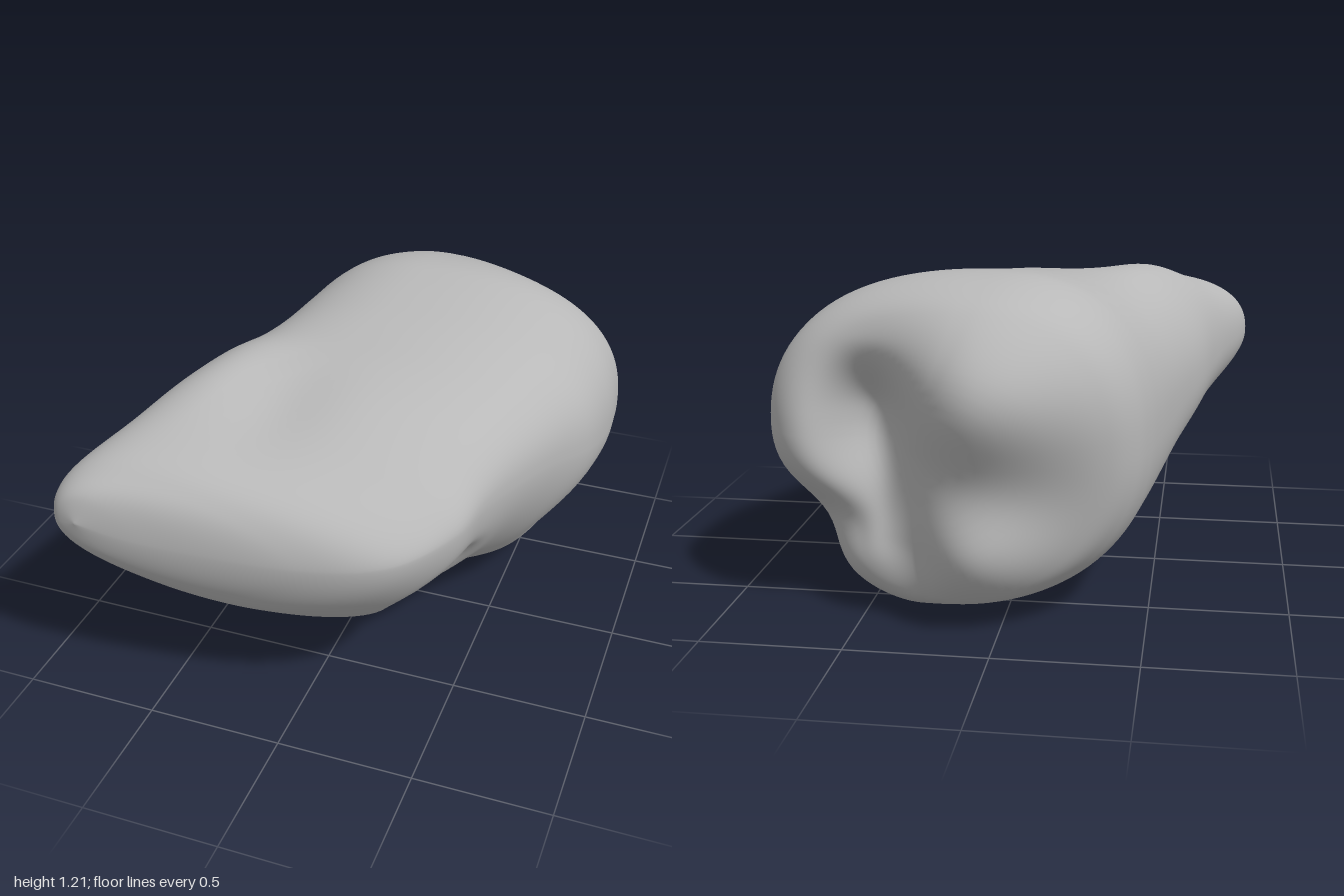
import * as THREE from 'three';
import { mergeVertices } from 'three/addons/utils/BufferGeometryUtils.js';

// Cross-sections, front to back:
// z, left x, left y, top x, top y, right x, right y, bottom x, bottom y
const SECTIONS = [
  [1.0, -0.71, 0.79, -0.71, 0.79, -0.71, 0.79, -0.71, 0.79],
  [0.97, -0.80, 0.77, -0.67, 0.89, -0.46, 0.74, -0.62, 0.66],
  [0.9, -0.84, 0.76, -0.60, 0.95, 0.04, 0.71, -0.40, 0.53],
  [0.8, -0.83, 0.76, -0.53, 1.00, 0.34, 0.72, -0.20, 0.42],
  [0.6, -0.77, 0.75, -0.45, 1.05, 0.51, 0.75, 0.03, 0.30],
  [0.4, -0.72, 0.73, -0.36, 1.10, 0.57, 0.77, 0.12, 0.265],
  [0.2, -0.68, 0.72, -0.20, 1.125, 0.64, 0.76, 0.12, 0.235],
  [0.0, -0.62, 0.70, -0.05, 1.14, 0.72, 0.74, 0.16, 0.15],
  [-0.2, -0.57, 0.68, 0.03, 1.17, 0.81, 0.70, 0.22, 0.06],
  [-0.4, -0.53, 0.66, 0.05, 1.20, 0.84, 0.67, 0.28, 0.01],
  [-0.55, -0.50, 0.65, 0.05, 1.21, 0.84, 0.67, 0.30, 0.00],
  [-0.66, -0.46, 0.65, 0.06, 1.18, 0.82, 0.67, 0.30, 0.04],
  [-0.74, -0.37, 0.65, 0.08, 1.11, 0.73, 0.67, 0.28, 0.11],
  [-0.78, -0.17, 0.64, 0.15, 0.95, 0.58, 0.66, 0.30, 0.28],
  [-0.78, 0.32, 0.62, 0.32, 0.62, 0.32, 0.62, 0.32, 0.62],
];

const bell = (d, s) => Math.exp(-(d * d) / (2 * s * s));
const { smoothstep, lerp } = THREE.MathUtils;

// Smooth interpolation of a whole section row
function sectionAt(t) {
  const n = SECTIONS.length - 1;
  const i = Math.min(Math.floor(t * n), n - 1);
  const f = t * n - i;
  const row = (k) => SECTIONS[THREE.MathUtils.clamp(k, 0, n)];
  const [a, b, c, d] = [row(i - 1), row(i), row(i + 1), row(i + 2)];
  return b.map((v, k) => {
    const m0 = (c[k] - a[k]) / 2, m1 = (d[k] - v) / 2, e = c[k] - v;
    return v + f * (m0 + f * (3 * e - 2 * m0 - m1 + f * (m0 + m1 - 2 * e)));
  });
}

// Four quarter curves joined at the left, top, right and bottom extremes
function pointAt(s, angle) {
  const [z, lx, ly, tx, ty, rx, ry, bx, by] = s;
  const c = Math.cos(angle), n = Math.sin(angle);
  const front = smoothstep(z, -0.3, 0.6);
  // fullness of each quarter: small is boxy, large is straight
  const upper = c > 0 ? lerp(0.82, 1.22, smoothstep(z, 0.25, 0.85)) : 0.86;
  const lower = c > 0 ? 1.1 : lerp(0.86, 1.0, front);
  const k = n > 0 ? upper : lower;
  const px = Math.abs(c) ** k, py = Math.abs(n) ** k;
  const midX = n > 0 ? tx : bx, sideX = c > 0 ? rx : lx;
  const sideY = c > 0 ? ry : ly, endY = n > 0 ? ty : by;
  return new THREE.Vector3(lerp(midX, sideX, px), lerp(sideY, endY, py), z);
}

// Lobes, grooves and hollows
function sculpt(p) {
  const { x, y, z } = p;
  const back = 1 - smoothstep(z, -0.76, -0.5);
  const grooveX = 0.32 + 0.13 * smoothstep(y, 0.2, 0.7);
  const grooveSpan = smoothstep(y, 0.0, 0.3) * (1 - smoothstep(y, 0.75, 1.02));
  p.z += back * (
    -0.24 * bell(x - 0.04, x < 0.04 ? 0.26 : 0.21) * bell(y - 0.84, 0.22)
    - 0.14 * bell(x - 0.08, 0.18) * bell(y - 0.28, 0.15)
    - 0.05 * bell(x - 0.68, 0.13) * bell(y - 0.66, 0.18)
    + 0.08 * bell(x - grooveX, 0.1) * grooveSpan
    + 0.11 * bell(x - 0.46, 0.12) * bell(y - 0.72, 0.15)
    + 0.06 * bell(y - 0.37, 0.09) * smoothstep(x, 0.3, 0.6));
  // waist under the right-hand bulge
  p.x -= 0.09 * bell(y - 0.33, 0.11) * smoothstep(x, 0.35, 0.65) * (1 - smoothstep(z, -0.4, 0));
  // side pit
  const pit = smoothstep(x, 0.1, 0.4) * bell(z - 0.47, 0.07) * bell(y - 0.455, 0.062);
  p.x -= 0.24 * pit;
  p.y += 0.08 * pit;
  // shallow hollow on the upper face, and the ridge beside it
  const top = smoothstep(y, 0.8, 1.0);
  p.y += top * (
    -0.04 * bell(x + 0.2, 0.13) * bell(z - 0.45, 0.17)
    + 0.03 * bell(x + 0.42, 0.12) * bell(z - 0.22, 0.2));
  return p;
}

function bodyGeometry(rings = 150, sides = 120) {
  const positions = [], index = [];
  for (let i = 0; i <= rings; i++) {
    const s = sectionAt(i / rings);
    for (let j = 0; j < sides; j++) {
      positions.push(...sculpt(pointAt(s, (j / sides) * Math.PI * 2)).toArray());
      if (i === rings) continue;
      const a = i * sides + j, b = i * sides + (j + 1) % sides;
      if (i > 0) index.push(a, a + sides, b);
      else index.push(a, a + sides, b + sides);
      if (i > 0 && i < rings - 1) index.push(b, a + sides, b + sides);
    }
  }
  const raw = new THREE.BufferGeometry();
  raw.setAttribute('position', new THREE.Float32BufferAttribute(positions, 3));
  raw.setIndex(index);
  const geometry = mergeVertices(raw, 1e-5);
  // stand on the ground, centred
  geometry.computeBoundingBox();
  const box = geometry.boundingBox, mid = box.getCenter(new THREE.Vector3());
  geometry.translate(-mid.x, -box.min.y, -mid.z);
  geometry.computeVertexNormals();
  return geometry;
}

export function createModel() {
  const grey = new THREE.MeshStandardMaterial({ color: 0xb8b8b8 });
  grey.name = 'grey';
  const body = new THREE.Mesh(bodyGeometry(), grey);
  body.name = 'lobedBody';
  const group = new THREE.Group();
  group.name = 'lobedStone';
  group.add(body);
  return group;
}
